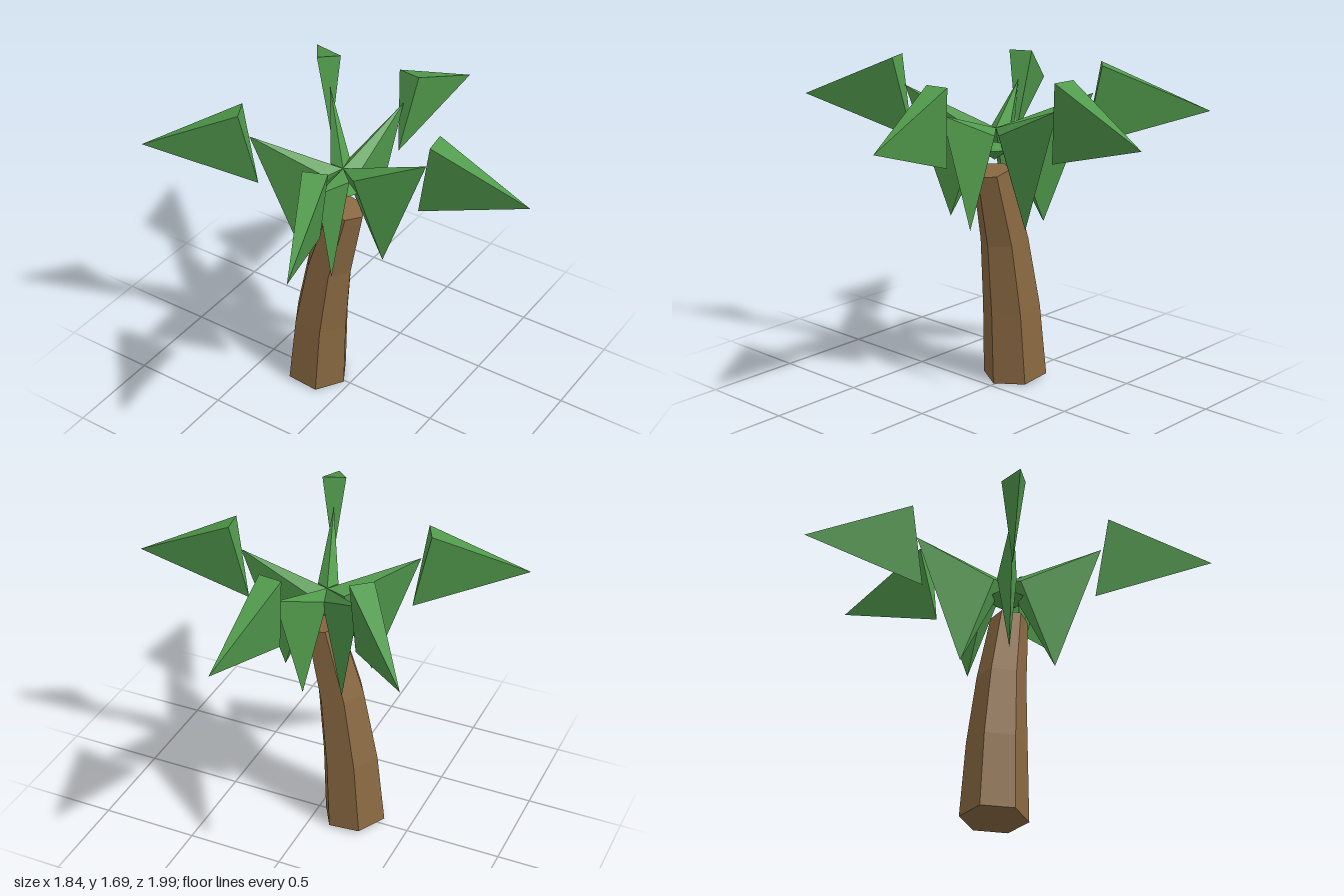
import * as THREE from 'three';
import { ConvexGeometry } from 'three/addons/geometries/ConvexGeometry.js';

const bark = new THREE.MeshStandardMaterial({ name: 'bark brown', color: 0x8a6942, flatShading: true });
const leaf = new THREE.MeshStandardMaterial({ name: 'leaf green', color: 0x519a4c, flatShading: true });

function part(name, geometry, material) {
  const mesh = new THREE.Mesh(geometry, material);
  mesh.name = name;
  return mesh;
}

// Hexagonal trunk, bent by moving each ring: centre x, centre y, radius, tilt
function trunkGeometry() {
  const rings = [
    [-0.20, 0.015, 0.167, -0.09],
    [-0.17, 0.40, 0.150, -0.10],
    [-0.115, 0.77, 0.124, -0.16],
    [-0.015, 1.145, 0.097, -0.20],
  ];
  const g = new THREE.CylinderGeometry(1, 1, 3, 6, 3);
  g.rotateY(Math.PI / 6);
  const p = g.attributes.position;
  for (let i = 0; i < p.count; i++) {
    const [cx, cy, r, tilt] = rings[Math.round(p.getY(i) + 1.5)];
    const dx = p.getX(i) * r;
    p.setXYZ(i, cx + dx, cy + dx * tilt, 0.01 + p.getZ(i) * r);
  }
  g.computeVertexNormals();
  return g;
}

// One frond: an inner wedge hanging from the crown and an outer pointed wedge
const crown = new THREE.Vector3(-0.04, 1.36, 0);

function frond(hinge, tip) {
  const h = new THREE.Vector3(...hinge);
  const t = new THREE.Vector3(...tip);
  // Point at a horizontal distance along and across a direction, at height y
  const placer = (origin, target) => {
    const f = target.clone().sub(origin).setY(0).normalize();
    const s = new THREE.Vector3(-f.z, 0, f.x);
    return (along, across, y) =>
      origin.clone().addScaledVector(f, along).addScaledVector(s, across).setY(y);
  };
  const inner = placer(crown, h);
  const outer = placer(h, t);
  const reach = Math.hypot(h.x - crown.x, h.z - crown.z);

  const group = new THREE.Group();
  group.name = 'frond';
  group.add(
    part('innerLeaf', new ConvexGeometry([
      crown.clone(),
      inner(0.08, 0.05, 1.34),
      inner(0.08, -0.05, 1.34),
      inner(reach + 0.035, 0, h.y + 0.268),
      inner(reach * 0.54, 0, 0.88),
    ]), leaf),
    part('outerLeaf', new ConvexGeometry([
      h,
      outer(0.075, 0.06, h.y + 0.415),
      outer(0.075, -0.06, h.y + 0.415),
      t,
    ]), leaf),
  );
  return group;
}

export function createModel() {
  const model = new THREE.Group();
  model.name = 'palmTree';
  model.add(part('trunk', trunkGeometry(), bark));

  // Five fronds: hinge point, tip point
  const fronds = [
    [[0.36, 1.235, -0.05], [0.915, 1.42, -0.13]],
    [[0.015, 1.255, -0.415], [0.08, 1.43, -1.0]],
    [[-0.335, 1.27, -0.33], [-0.74, 1.45, -0.79]],
    [[-0.41, 1.245, 0.195], [-0.92, 1.425, 0.45]],
    [[0.12, 1.27, 0.43], [0.335, 1.45, 0.99]],
  ];
  for (const [hinge, tip] of fronds) model.add(frond(hinge, tip));

  // Small bud under the crown, showing between the fronds
  const profile = [[0, 1.2], [0.1, 1.265], [0, 1.29]].map(([x, y]) => new THREE.Vector2(x, y));
  const bud = part('bud', new THREE.LatheGeometry(profile, 8), leaf);
  bud.position.set(-0.03, 0, 0);
  model.add(bud);
  return model;
}
